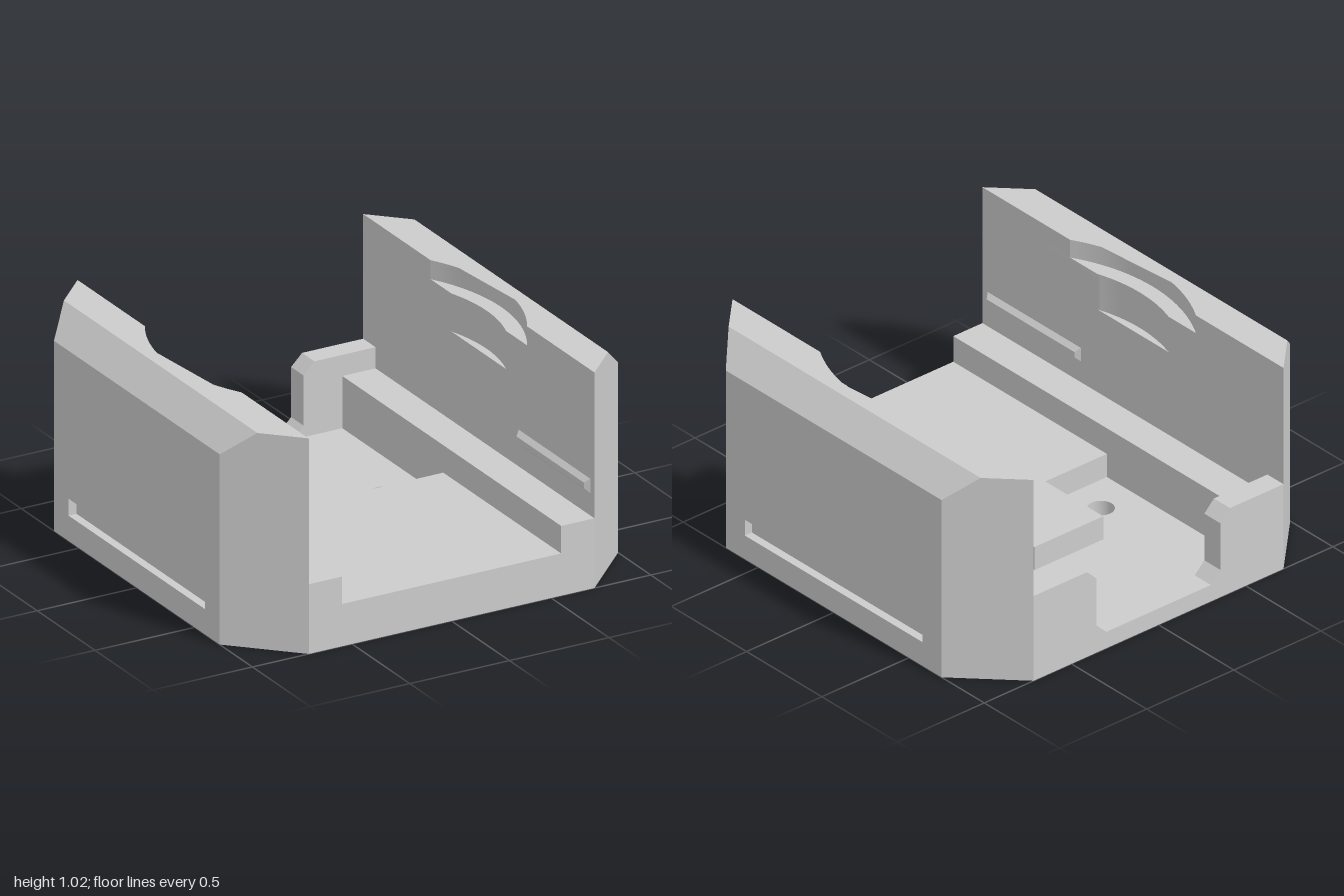
import * as THREE from 'three';
import { mergeGeometries, toCreasedNormals } from 'three/addons/utils/BufferGeometryUtils.js';

const INNER = 0.717; // inner face of the side walls
const CORNER = 1.717; // x + z along the cut corners
const { ShapeUtils, Vector2 } = THREE;

// Solid layer between two plan outlines (x, z) with matching points
function layer(planA, yA, planB, yB) {
  const flip = ShapeUtils.area(planA) < 0;
  const a = flip ? [...planA].reverse() : planA;
  const b = flip ? [...planB].reverse() : planB;
  const pos = [];
  const put = (p, y) => pos.push(p.x, y, p.y);
  a.forEach((p, i) => {
    const j = (i + 1) % a.length;
    put(p, yA); put(b[i], yB); put(b[j], yB);
    put(p, yA); put(b[j], yB); put(a[j], yA);
  });
  for (let tri of ShapeUtils.triangulateShape(a, [])) {
    if (ShapeUtils.area(tri.map(i => a[i])) < 0) tri = [tri[0], tri[2], tri[1]];
    for (const i of tri) put(a[i], yA);
    for (const i of [tri[0], tri[2], tri[1]]) put(b[i], yB);
  }
  const g = new THREE.BufferGeometry();
  g.setAttribute('position', new THREE.Float32BufferAttribute(pos, 3));
  return g;
}

// Outline of a wall: outer face at xo, optional slot outside and round cut inside
function wallPlan(side, xo, radius, slot) {
  const pts = [[INNER, -1], [xo, xo - CORNER]];
  if (slot) pts.push([xo, -0.59], [xo - 0.04, -0.59], [xo - 0.04, 0.59], [xo, 0.59]);
  pts.push([xo, CORNER - xo], [INNER, 1]);
  if (radius) {
    const end = Math.acos(INNER / radius), n = 24;
    for (let i = 0; i <= n; i++) {
      const t = end * (1 - 2 * i / n);
      pts.push([radius * Math.cos(t), radius * Math.sin(t)]);
    }
  }
  return pts.map(([x, z]) => new Vector2(side * x, z));
}

function wallGeometry(side) {
  // y from, y to, cut radius, slot
  const steps = [
    [0, 0.12, 0, false], [0.12, 0.2, 0, true], [0.2, 0.75, 0, false],
    [0.75, 0.9, 0.755, false], [0.9, 0.93, 0.755, false], [0.93, 1.02, 0.83, false],
  ];
  const outer = y => Math.min(1, 1.9 - y);
  const parts = steps.map(([y0, y1, r, slot]) =>
    layer(wallPlan(side, outer(y0), r, slot), y0, wallPlan(side, outer(y1), r, slot), y1));
  return toCreasedNormals(mergeGeometries(parts), 0.4);
}

const makeShape = pts => new THREE.Shape(pts.map(p => new Vector2(...p)));

// Plate from an (x, z) outline
function plate(shape, y0, y1) {
  const g = new THREE.ExtrudeGeometry(shape, { depth: y1 - y0, bevelEnabled: false, curveSegments: 24 });
  return g.rotateX(Math.PI / 2).translate(0, y1, 0);
}

export function createModel() {
  const model = new THREE.Group();
  const material = new THREE.MeshStandardMaterial({ color: 0xcccccc });
  const add = (name, geometry) => {
    const mesh = new THREE.Mesh(geometry, material);
    mesh.name = name;
    model.add(mesh);
  };

  // Base plate with two through holes
  const base = makeShape([[-INNER, -1], [INNER, -1], [INNER, 1], [-INNER, 1]]);
  for (const x of [-0.36, 0.36]) {
    base.holes.push(new THREE.Path().absarc(x, -0.2, 0.061, 0, Math.PI * 2, true));
  }
  add('basePlate', toCreasedNormals(plate(base, 0, 0.083), 0.5));

  // Raised floor with a tongue reaching into the rear recess
  add('raisedFloor', plate(makeShape([
    [-0.55, 1], [-0.55, -0.02], [-0.197, -0.02], [-0.197, -0.405],
    [0.197, -0.405], [0.197, -0.02], [0.55, -0.02], [0.55, 1],
  ]), 0.083, 0.2));

  for (const side of [1, -1]) {
    const label = side > 0 ? 'left' : 'right';
    add(label + 'Wall', wallGeometry(side));

    // Rail along the foot of the wall
    const rail = new THREE.BoxGeometry(INNER - 0.55, 0.247, 1.893);
    add(label + 'Rail', rail.translate(side * (INNER + 0.55) / 2, 0.2065, 0.0535));

    // Rear stop with chamfered top and foot
    const stop = makeShape([
      [INNER, 0.083], [0.3, 0.083], [0.355, 0.138], [0.355, 0.375], [0.41, 0.43], [INNER, 0.43],
    ].map(([x, y]) => [side * x, y]));
    add(label + 'RearStop', new THREE.ExtrudeGeometry(stop, { depth: 0.107, bevelEnabled: false })
      .translate(0, 0, -1));

    // Tapered snap ridge on the inner face
    const ridge = new THREE.BoxGeometry(0.022, 0.068, 0.62);
    const p = ridge.attributes.position;
    for (let i = 0; i < p.count; i++) {
      if (p.getX(i) * side < 0) p.setXYZ(i, p.getX(i), p.getY(i) * 0.4, p.getZ(i) * 0.94);
    }
    ridge.computeVertexNormals();
    add(label + 'SnapRidge', ridge.translate(side * (INNER - 0.011), 0.47, 0.655));
  }
  return model;
}
